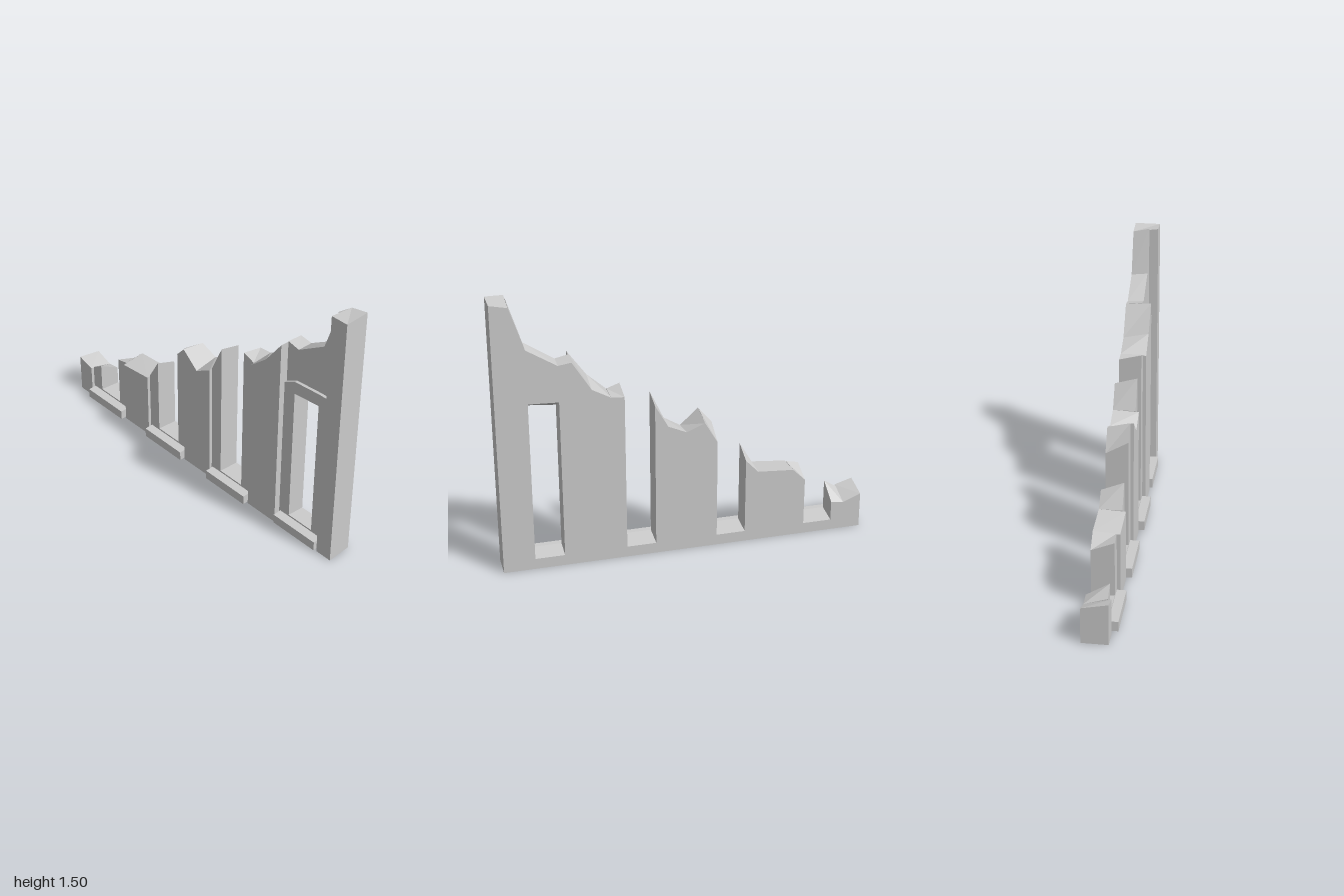
import * as THREE from 'three';

const BACK = -0.085, FACE = 0.055, RECESS = 0.037, DEEP = 0.02, UPPER = 0.005;

// Solid through sections [x, topFront, topBack, bottomFront = 0, bottomBack = bottomFront]
function masonry(sections, zFront) {
  const rings = sections.map(([x, tf, tb, bf = 0, bb = bf]) => [
    [x, bf, zFront], [x, bb, BACK], [x, tb, BACK], [x, tf, zFront]]);
  const pos = [];
  const quad = (a, b, c, d) => pos.push(...a, ...b, ...c, ...a, ...c, ...d);
  for (let s = 0; s < rings.length - 1; s++) {
    const a = rings[s], b = rings[s + 1];
    for (let i = 0; i < 4; i++) {
      const j = (i + 1) % 4;
      quad(a[i], a[j], b[j], b[i]);
    }
  }
  const first = rings[0], last = rings[rings.length - 1];
  quad(first[3], first[2], first[1], first[0]);
  quad(...last);
  const g = new THREE.BufferGeometry();
  g.setAttribute('position', new THREE.Float32BufferAttribute(pos, 3));
  g.computeVertexNormals();
  return g;
}

export function createModel() {
  const group = new THREE.Group();
  const material = new THREE.MeshStandardMaterial({ color: 0xcccccc, flatShading: true });
  const add = (name, geometry) => {
    const mesh = new THREE.Mesh(geometry, material);
    mesh.name = name;
    group.add(mesh);
    return mesh;
  };

  // Piers with broken tops, rising from right to left
  const piers = [
    [[-1, 0.23, 0.2], [-0.9, 0.2, 0.16]],
    [[-0.6, 0.39, 0.4], [-0.4, 0.41, 0.415]],
    [[-0.1, 0.77, 0.74], [0, 0.68, 0.7], [0.1, 0.74, 0.745]],
    [[0.4, 0.94, 0.945], [0.5, 1.03, 1.0], [0.6, 1.17, 1.16]],
    [[0.905, 1.5, 1.48], [1, 1.5, 1.5]],
  ];
  piers.forEach((p) => add('pier', masonry(p, FACE)));

  // Set-back jambs beside the broken openings
  const jambs = [
    [[-0.9, 0.2, 0.16], [-0.83, 0.245, 0.17]],
    [[-0.67, 0.38, 0.33], [-0.6, 0.395, 0.4]],
    [[-0.4, 0.415, 0.415], [-0.33, 0.54, 0.49]],
    [[-0.17, 0.69, 0.62], [-0.1, 0.77, 0.74]],
    [[0.1, 0.745, 0.745], [0.17, 0.905, 0.87]],
    [[0.33, 0.97, 0.94], [0.4, 0.945, 0.945]],
  ];
  jambs.forEach((j) => add('jamb', masonry(j, RECESS)));

  // Complete window: jambs, lintel with splayed underside, and wall above
  add('windowFrame', masonry([[0.6, 0.925, 0.94], [0.67, 0.965, 0.975]], DEEP));
  add('windowFrame', masonry([[0.83, 0.978, 0.985], [0.905, 0.98, 0.985]], DEEP));
  add('lintel', masonry([[0.67, 0.965, 0.975, 0.892, 0.95], [0.83, 0.978, 0.985, 0.907, 0.957]], DEEP));
  add('upperWall', masonry([
    [0.6, 1.17, 1.16, 0.92], [0.67, 1.155, 1.15, 0.96],
    [0.83, 1.26, 1.25, 0.965], [0.905, 1.5, 1.48, 0.965]], UPPER));

  // Wall under each opening, with a projecting sill
  [-0.75, -0.25, 0.25, 0.75].forEach((x, i) => {
    const z = i === 3 ? DEEP : RECESS;
    add('openingBase', masonry([[x - 0.08, 0.075, 0.06], [x + 0.08, 0.075, 0.06]], z));
    const sill = add('sill', new THREE.BoxGeometry(0.29, 0.055, 0.06));
    sill.position.set(x + 0.003, 0.038, z + 0.02);
  });
  return group;
}
